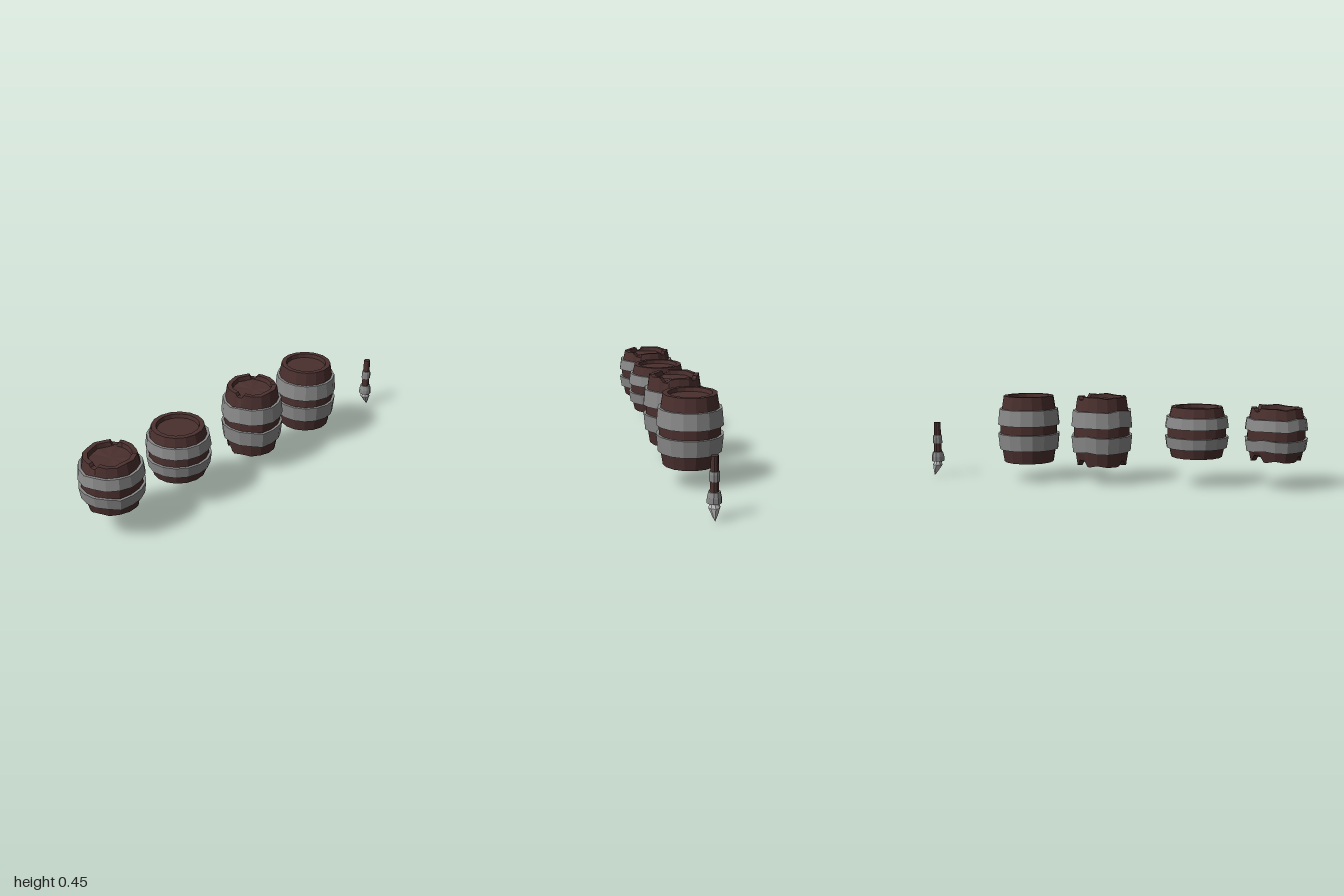
import * as THREE from 'three';

const SIDES = 16;
const STEP = (Math.PI * 2) / SIDES;
const wood = new THREE.MeshStandardMaterial({ color: 0x4a302e, flatShading: true });
const iron = new THREE.MeshStandardMaterial({ color: 0x8a8a8a, flatShading: true });
const steel = new THREE.MeshStandardMaterial({ color: 0xbbbbbb, flatShading: true });

// Repeatable value 0..1 for each stave corner
const hash = (k, seed) => {
  const s = Math.sin(((k + SIDES) % SIDES) * 12.99 + seed * 78.2) * 4375.85;
  return s - Math.floor(s);
};

// Chips in the rims: direction (x, z), half width in radians, depth
const topChips = [[-21, 6, 0.2, 0.02], [14, -13, 0.2, 0.02], [19, 12, 0.2, 0.02]];
const bottomChips = [[1, -1, 0.34, 0.032], [1, 1, 0.22, 0.022], [-1, -0.4, 0.2, 0.02]];

function chipDepth(chips, phi) {
  let depth = 0;
  for (const [x, z, width, d] of chips) {
    let off = phi - Math.atan2(x, z);
    off = Math.abs(Math.atan2(Math.sin(off), Math.cos(off)));
    depth = Math.max(depth, d * Math.min(1, Math.max(0, (1 - off / width) * 2)));
  }
  return depth;
}

// Dents the staves, makes the edges uneven and chips the rims
function damage(geometry, half, seed, isBand) {
  const p = geometry.attributes.position;
  for (let i = 0; i < p.count; i++) {
    const x = p.getX(i), z = p.getZ(i), y = p.getY(i);
    const r = Math.hypot(x, z);
    if (r < 0.101) continue;
    const phi = Math.atan2(x, z);
    const k = Math.floor(phi / STEP + 1e-4);
    const t = phi / STEP - k;
    const mix = (s) => hash(k, s) * (1 - t) + hash(k + 1, s) * t;
    // keep the flat staves between the corners
    const flat = Math.cos(STEP / 2) / Math.cos((t - 0.5) * STEP);
    const scale = (flat * (r - 0.007 * mix(1))) / r;
    let dy = (mix(isBand ? 2 + Math.sign(y) : 5 + Math.sign(y)) - 0.5) * 0.012;
    if (!isBand && Math.abs(y) > half * 0.9) {
      dy += Math.sign(y) * 0.003;
      dy -= y > 0 ? chipDepth(topChips, phi) : -chipDepth(bottomChips, phi);
    }
    p.setXYZ(i, x * scale, y + dy, z * scale);
  }
  geometry.computeVertexNormals();
}

const lathe = (points, sides) =>
  new THREE.LatheGeometry(points.map(([r, y]) => new THREE.Vector2(r, y)), sides);

function part(name, geometry, material) {
  const mesh = new THREE.Mesh(geometry, material);
  mesh.name = name;
  return mesh;
}

// half: half height; bandIn and bandOut: band edges measured from the middle
function barrel(name, x, y, { half, bandIn, bandOut }, seed = 0) {
  const group = new THREE.Group();
  group.name = name;
  group.position.set(x, y, 0);
  const segments = seed ? SIDES * 5 : SIDES;

  // Staves with a recessed lid at both ends
  const upper = [
    [0.15, bandIn], [0.142, bandOut], [0.131, half],
    [0.107, half], [0.103, half - 0.02], [0, half - 0.02],
  ];
  const lower = upper.map(([r, h]) => [r, -h]).reverse();
  const body = lathe([...lower, ...upper], segments);
  if (seed) damage(body, half, seed, false);
  group.add(part('staves', body, wood));

  // Iron bands following the bulge
  for (const side of [1, -1]) {
    const loop = [
      [0.148, bandIn], [0.163, bandIn], [0.155, bandOut], [0.14, bandOut], [0.148, bandIn],
    ].map(([r, h]) => [r, h * side]);
    if (side < 0) loop.reverse();
    const band = lathe(loop, segments);
    if (seed) damage(band, half, seed, true);
    group.add(part(side > 0 ? 'upperBand' : 'lowerBand', band, iron));
  }
  return group;
}

function brush() {
  const group = new THREE.Group();
  group.name = 'brush';
  group.position.x = 0.966;
  group.add(part('handle', lathe([[0, 0.12], [0.021, 0.125], [0.017, 0.293], [0, 0.293]], 10), wood));
  group.add(part('handleRing', lathe(
    [[0.017, 0.18], [0.0245, 0.18], [0.0245, 0.212], [0.022, 0.224], [0.016, 0.224]], 10), iron));
  group.add(part('ferrule', lathe(
    [[0, 0.083], [0.034, 0.083], [0.033, 0.108], [0.027, 0.133], [0, 0.133]], 10), iron));

  // Tip sweeping sideways to a point
  const tip = lathe([[0, 0.003], [0.012, 0.026], [0.027, 0.062], [0.018, 0.084], [0, 0.084]], 8);
  const p = tip.attributes.position;
  for (let i = 0; i < p.count; i++) {
    const t = Math.max(0, 1 - p.getY(i) / 0.07);
    p.setX(i, p.getX(i) + 0.022 * t);
  }
  group.add(part('tip', tip, steel));
  return group;
}

export function createModel() {
  const model = new THREE.Group();
  model.name = 'barrelSet';
  const short = { half: 0.128, bandIn: 0.023, bandOut: 0.08 };
  const tall = { half: 0.174, bandIn: 0.023, bandOut: 0.106 };
  model.add(
    barrel('damagedShortBarrel', -0.837, 0.281, short, 1),
    barrel('shortBarrel', -0.437, 0.281, short),
    barrel('damagedTallBarrel', 0.056, 0.275, tall, 1),
    barrel('tallBarrel', 0.452, 0.275, tall),
    brush(),
  );
  return model;
}
